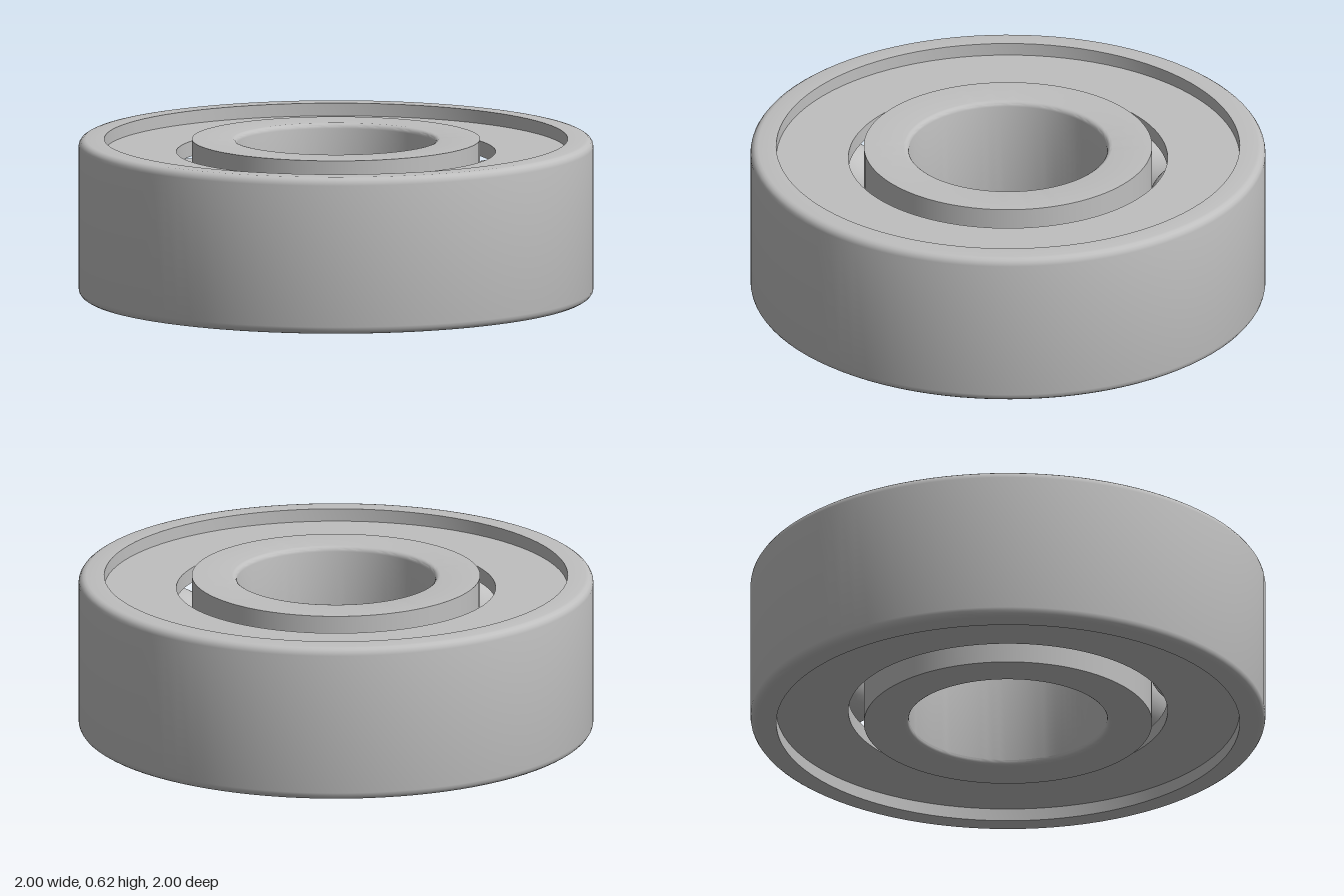
import * as THREE from 'three';
import { toCreasedNormals } from 'three/addons/utils/BufferGeometryUtils.js';

const H = 0.615;        // overall height
const RECESS = 0.05;    // shields sit this far below the rim
const SHIELD = 0.06;    // shield thickness
const BORE = 0.385, INNER = 0.56, GAP = 0.62, RIM = 0.9, OUTER = 1;

export function createModel() {
  const steel = new THREE.MeshStandardMaterial({ color: 0xbfbfbf });
  steel.name = 'steel';
  const group = new THREE.Group();
  group.name = 'ballBearing';

  // Profiles run counter-clockwise in (radius, height) so faces point outward
  const ring = (name, points) => {
    const profile = points.map(([r, y]) => new THREE.Vector2(r, y));
    const geometry = toCreasedNormals(new THREE.LatheGeometry(profile, 96), 0.55);
    const mesh = new THREE.Mesh(geometry, steel);
    mesh.name = name;
    group.add(mesh);
  };

  // Quarter-round corner as a list of profile points
  const fillet = (cx, cy, radius, start) => {
    const points = [];
    for (let i = 0; i <= 4; i++) {
      const a = start + (i / 4) * Math.PI / 2;
      points.push([cx + radius * Math.cos(a), cy + radius * Math.sin(a)]);
    }
    return points;
  };

  // Outer ring: rounded outside edges, open behind the shields
  const f = 0.03;
  ring('outerRing', [
    [RIM, RECESS], [RIM, 0],
    ...fillet(OUTER - f, f, f, -Math.PI / 2),
    ...fillet(OUTER - f, H - f, f, 0),
    [RIM, H], [RIM, H - RECESS],
  ]);

  // Inner ring: sharp outside edges, rounded bore
  const g = 0.02;
  ring('innerRing', [
    [INNER, 0], [INNER, H],
    ...fillet(BORE + g, H - g, g, Math.PI / 2),
    ...fillet(BORE + g, g, g, Math.PI),
    [INNER, 0],
  ]);

  // Recessed annular shields, above and below
  for (const [name, y] of [['bottomShield', RECESS], ['topShield', H - RECESS - SHIELD]]) {
    ring(name, [
      [GAP, y], [RIM, y], [RIM, y + SHIELD], [GAP, y + SHIELD], [GAP, y],
    ]);
  }

  // Balls between the rings
  const ballGeometry = new THREE.SphereGeometry(0.16, 32, 20);
  for (let i = 0; i < 10; i++) {
    const a = 0.13 + (i / 10) * Math.PI * 2;
    const ball = new THREE.Mesh(ballGeometry, steel);
    ball.name = 'ball' + (i + 1);
    ball.position.set(0.715 * Math.cos(a), H / 2, 0.715 * Math.sin(a));
    group.add(ball);
  }

  return group;
}
